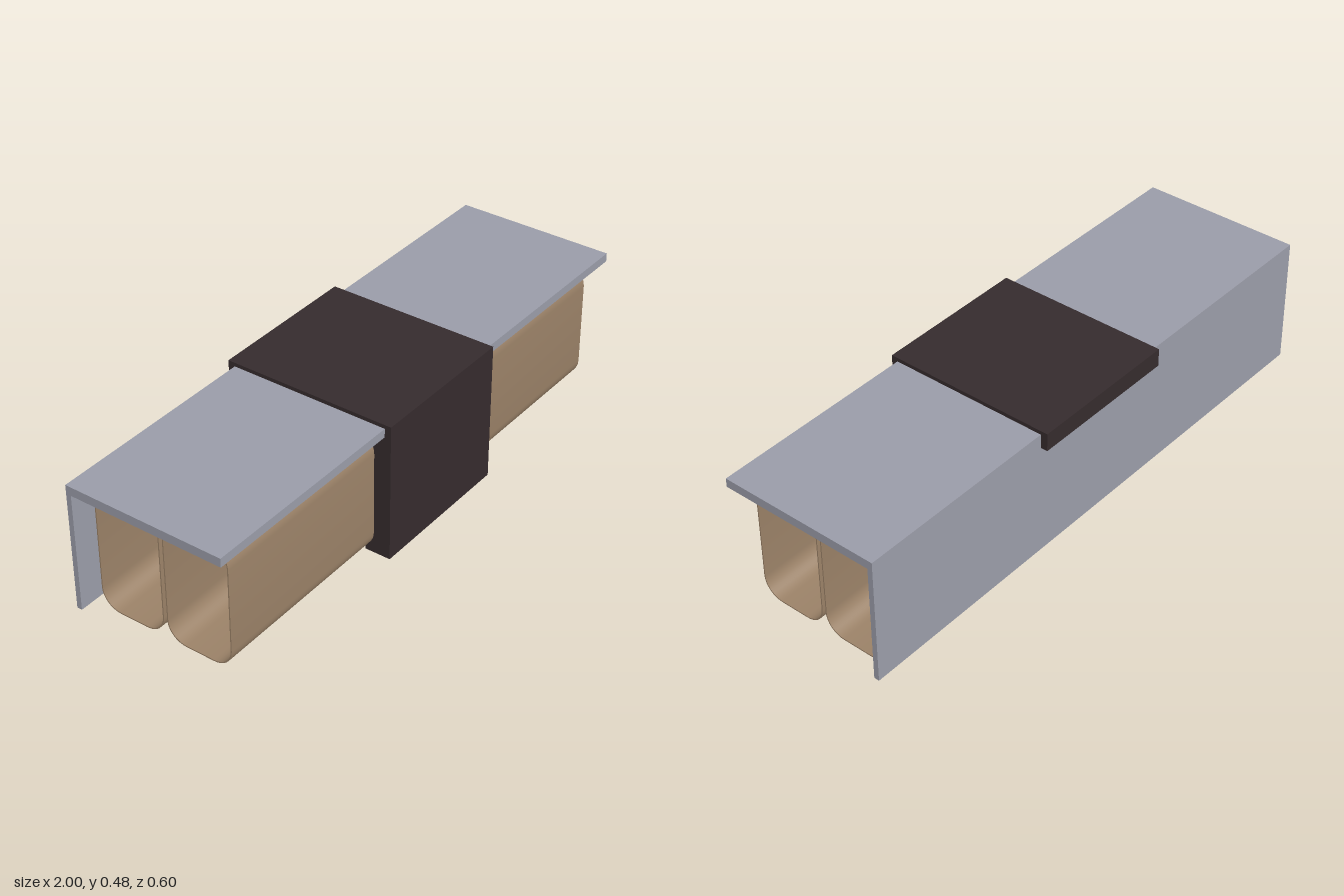
import * as THREE from 'three';
import { toCreasedNormals } from 'three/addons/utils/BufferGeometryUtils.js';

function material(name, color) {
  const m = new THREE.MeshStandardMaterial({ color });
  m.name = name;
  return m;
}

// Rounded rectangle centred on the origin
function roundedRect(PathType, w, h, r) {
  const x = w / 2, y = h / 2, p = new PathType();
  p.moveTo(-x + r, -y);
  p.lineTo(x - r, -y);
  p.absarc(x - r, -y + r, r, -Math.PI / 2, 0);
  p.lineTo(x, y - r);
  p.absarc(x - r, y - r, r, 0, Math.PI / 2);
  p.lineTo(-x + r, y);
  p.absarc(-x + r, y - r, r, Math.PI / 2, Math.PI);
  p.lineTo(-x, -y + r);
  p.absarc(-x + r, -y + r, r, Math.PI, Math.PI * 1.5);
  p.closePath();
  return p;
}

// L-shaped bar: a (z, y) outline extruded along x from x0 to x1
function bracket(name, points, x0, x1, mat) {
  const shape = new THREE.Shape(points.map(([z, y]) => new THREE.Vector2(-z, y)));
  const geo = new THREE.ExtrudeGeometry(shape, { depth: x1 - x0, bevelEnabled: false });
  geo.rotateY(Math.PI / 2).translate(x0, 0, 0);
  const mesh = new THREE.Mesh(geo, mat);
  mesh.name = name;
  return mesh;
}

export function createModel() {
  const grey = material('steel grey', 0x9a9ca8);
  const dark = material('dark brown', 0x352b2d);
  const tan = material('tan', 0x9a8167);
  const model = new THREE.Group();
  model.name = 'coveredTubes';

  // Cover: top plate with a thin back plate
  model.add(bracket('coverPlate', [
    [0.28, 0.44], [0.28, 0.47], [-0.278, 0.47], [-0.278, 0.028], [-0.26, 0.028], [-0.26, 0.44],
  ], -1, 1, grey));

  // Clamp: thick front block with a top flange
  model.add(bracket('clamp', [
    [0.302, 0], [0.302, 0.483], [-0.302, 0.483], [-0.302, 0.421], [0.212, 0.421], [0.212, 0],
  ], -0.252, 0.285, dark));

  // Two hollow open-ended tubes side by side
  const wall = 0.004, w = 0.237, h = 0.426, r = 0.068, length = 1.856;
  const section = roundedRect(THREE.Shape, w, h, r);
  section.holes.push(roundedRect(THREE.Path, w - 2 * wall, h - 2 * wall, r - wall));
  const raw = new THREE.ExtrudeGeometry(section, { depth: length, bevelEnabled: false, curveSegments: 4 });
  raw.translate(0, 0, -length / 2).rotateY(Math.PI / 2);
  const tubeGeo = toCreasedNormals(raw, 0.7);
  for (const side of [1, -1]) {
    const tube = new THREE.Mesh(tubeGeo, tan);
    tube.name = side > 0 ? 'frontTube' : 'backTube';
    tube.position.set(0, 0.22, side * 0.1245);
    model.add(tube);
  }
  return model;
}
